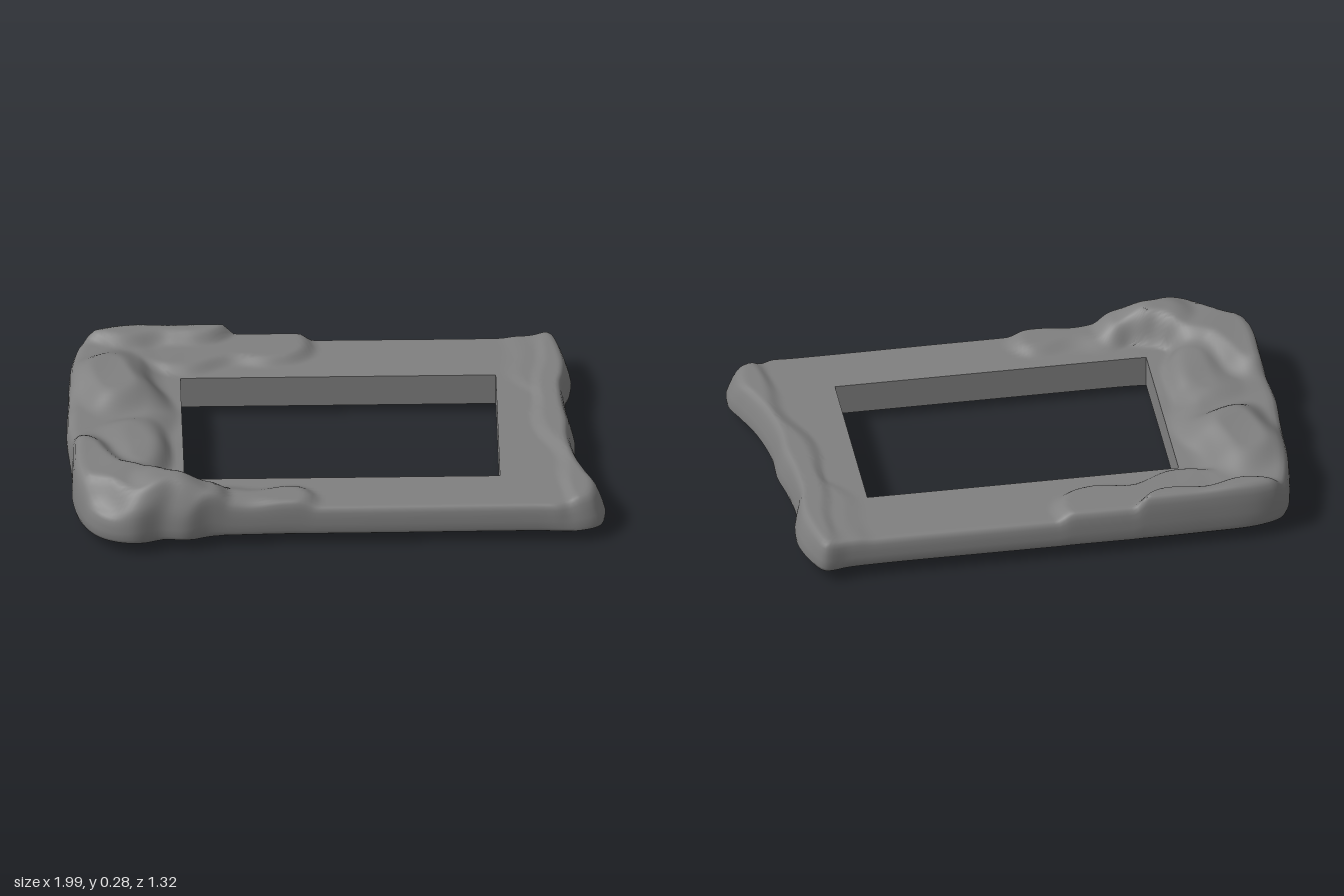
import * as THREE from 'three';
import { toCreasedNormals } from 'three/addons/utils/BufferGeometryUtils.js';

const { lerp, clamp, smoothstep } = THREE.MathUtils;

// Outer outline [x, z], one list per side, each starting at a corner
const SIDES = [
  [[-0.93, -0.59], [-0.85, -0.63], [-0.6, -0.645], [0, -0.645], [0.6, -0.645], [0.72, -0.65]],
  [[0.81, -0.66], [0.85, -0.6], [0.885, -0.48], [0.88, -0.38], [0.86, -0.3], [0.87, -0.15],
    [0.89, -0.03], [0.89, 0.1], [0.92, 0.26], [0.96, 0.37], [0.995, 0.46]],
  [[0.975, 0.565], [0.9, 0.6], [0.75, 0.595], [0.2, 0.597], [-0.3, 0.6], [-0.48, 0.61],
    [-0.57, 0.637], [-0.66, 0.63], [-0.77, 0.658]],
  [[-0.89, 0.61], [-0.96, 0.5], [-0.985, 0.38], [-0.985, 0.2], [-1, 0.02], [-0.99, -0.2], [-0.975, -0.45]],
];
// Corners of the rectangular opening, in the same order
const OPENING = [[-0.57, -0.36], [0.6, -0.36], [0.6, 0.37], [-0.57, 0.37]];

// Raised swells on the top: path, flat radius, falloff width, height
const SWELLS = [
  { path: [[0.82, -0.62], [0.82, -0.38]], r: 0.13, soft: 0.06, y: 0.164 },
  { path: [[0.87, -0.6], [0.86, -0.1], [0.93, 0.25], [0.96, 0.5]], r: 0.08, soft: 0.06, y: 0.175 },
  { path: [[-0.62, -0.52], [-0.4, -0.56], [-0.19, -0.58]], r: 0.09, soft: 0.06, y: 0.188 },
  { path: [[-0.45, 0.53], [-0.17, 0.54]], r: 0.03, soft: 0.08, y: 0.186 },
  { path: [[-0.9, -0.45], [-0.86, -0.1], [-0.9, 0.3]], r: 0.17, soft: 0.1, y: 0.195 },
  { path: [[-0.85, -0.66], [-0.6, -0.65], [-0.48, -0.67]], r: 0.07, soft: 0.06, y: 0.232 },
  { path: [[-0.84, -0.33], [-0.8, -0.2]], r: 0.05, soft: 0.14, y: 0.25 },
  { path: [[-0.75, 0.08], [-0.74, 0.28]], r: 0.03, soft: 0.1, y: 0.215 },
  { path: [[-0.95, 0.27], [-0.87, 0.42], [-0.74, 0.52]], r: 0.06, soft: 0.1, y: 0.25 },
  { path: [[-0.56, 0.54], [-0.5, 0.54]], r: 0.02, soft: 0.09, y: 0.23 },
  { path: [[-0.65, 0.53], [-0.61, 0.53]], r: 0.02, soft: 0.11, y: 0.282 },
];

function pathDistance(x, z, path) {
  let best = Infinity;
  for (let i = 0; i + 1 < path.length; i++) {
    const [ax, az] = path[i], dx = path[i + 1][0] - ax, dz = path[i + 1][1] - az;
    const t = clamp(((x - ax) * dx + (z - az) * dz) / (dx * dx + dz * dz), 0, 1);
    best = Math.min(best, Math.hypot(x - ax - t * dx, z - az - t * dz));
  }
  return best;
}

const swell = (x, z, cx, cz, rx, rz) => Math.exp(-(((x - cx) / rx) ** 2) - ((z - cz) / rz) ** 2);

function topHeight(x, z) {
  let y = 0.157;
  // Uneven swell borders
  const waver = 0.012 * Math.sin(23 * x + 5 * z) + 0.008 * Math.sin(19 * z - 11 * x);
  for (const s of SWELLS) {
    const k = 1 - smoothstep(pathDistance(x, z, s.path) + waver, s.r, s.r + s.soft);
    y += Math.max(0, s.y - y) * k;
  }
  // Shallow carved ripples on the rough end
  const rough = 1 - smoothstep(x, -0.75, -0.5);
  return y + rough * 0.005 * Math.sin(16 * x + 21 * z + 2 * Math.sin(9 * z));
}

// Underside: a hanging lump beside a hollow on the rough end
function bottomHeight(x, z) {
  const hollow = smoothstep(z, -0.36, -0.2) * (1 - smoothstep(z, 0, 0.22)) * (1 - smoothstep(x, -0.76, -0.6));
  return 0.045 - 0.043 * swell(x, z, -0.8, 0.35, 0.15, 0.16) + 0.05 * hollow;
}

// Cross-section from the opening outward and back: [inner to outer, bottom to top]
const PROFILE = [[0, 0], [0, 1]];
for (let i = 1; i <= 28; i++) PROFILE.push([(i / 28) * 0.9, 1]);
PROFILE.push([0.94, 0.98], [0.967, 0.92], [0.985, 0.8], [0.995, 0.6], [1, 0.4], [1, 0.16], [0.985, 0.05], [0.95, 0]);
for (let i = 1; i <= 14; i++) PROFILE.push([0.95 - (i / 14) * 0.89, 0]);
PROFILE.push([0.045, -0.1], [0, -0.1]);

// Matching points on the outline and on the opening
function makeStations() {
  const points = SIDES.flat();
  const curve = new THREE.CatmullRomCurve3(points.map(([x, z]) => new THREE.Vector3(x, 0, z)), true);
  const stations = [];
  let index = 0;
  SIDES.forEach((side, s) => {
    const axis = s % 2, next = (s + 1) % 4;
    const from = side[0][axis], to = SIDES[next][0][axis];
    for (let k = 0; k < side.length; k++, index++) {
      const a = points[index], b = points[(index + 1) % points.length];
      const n = Math.max(3, Math.ceil(Math.hypot(b[0] - a[0], b[1] - a[1]) / 0.02));
      for (let j = 0; j < n; j++) {
        const p = curve.getPoint((index + j / n) / points.length);
        const f = clamp(((axis ? p.z : p.x) - from) / (to - from), 0, 1);
        const inner = [0, 1].map((c) => lerp(OPENING[s][c], OPENING[next][c], f));
        stations.push({ outer: [p.x, p.z], inner });
      }
    }
  });
  return stations;
}

function frameGeometry() {
  const stations = makeStations(), rows = stations.length, cols = PROFILE.length;
  const positions = [], indices = [];
  stations.forEach(({ outer, inner }, i) => {
    // The +x end leans inward towards the top
    const lean = 0.1 * smoothstep(outer[0], 0.8, 0.9);
    PROFILE.forEach(([t, v], j) => {
      const u = t * (1 - lean * Math.max(v, 0));
      const x = lerp(inner[0], outer[0], u), z = lerp(inner[1], outer[1], u);
      positions.push(x, lerp(bottomHeight(x, z), topHeight(x, z), v), z);
      const i2 = (i + 1) % rows, j2 = (j + 1) % cols;
      const a = i * cols + j, b = i2 * cols + j, c = i2 * cols + j2, d = i * cols + j2;
      indices.push(a, b, c, a, c, d);
    });
  });
  const geometry = new THREE.BufferGeometry();
  geometry.setAttribute('position', new THREE.Float32BufferAttribute(positions, 3));
  geometry.setIndex(indices);
  return toCreasedNormals(geometry, 0.8);
}

export function createModel() {
  const group = new THREE.Group();
  group.name = 'roughStoneFrame';
  const frame = new THREE.Mesh(frameGeometry(), new THREE.MeshStandardMaterial({ color: 0x808080 }));
  frame.name = 'frame';
  group.add(frame);
  return group;
}
